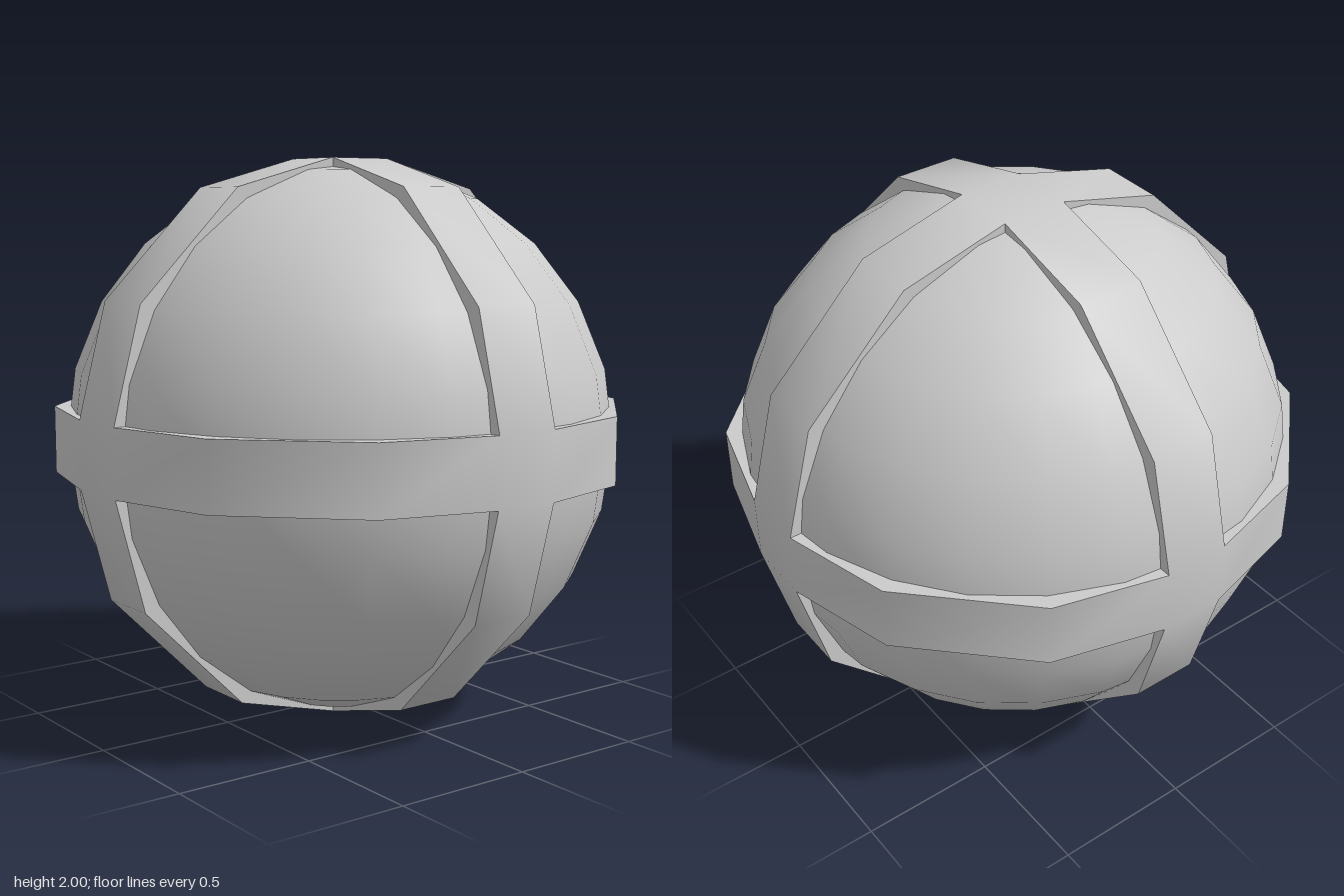
import * as THREE from 'three';
import { toCreasedNormals } from 'three/addons/utils/BufferGeometryUtils.js';

const HALF_WIDTH = 0.12;
// quarter of a band's outline, from the top crossing to the side crossing
const PROFILE = [[0.12, 1], [0.515, 0.895], [0.895, 0.515], [1, 0.12]];

// Three crossing bands: square crossings joined by faceted arms with side walls
function bandGeometry() {
  const positions = [];

  // Adds a quad, turned by quarter turns about z and then cycled to another axis
  const addQuad = (corners, turns, axis) => {
    const placed = corners.map(([x, y, z]) => {
      for (let i = 0; i < turns; i++) [x, y] = [-y, x];
      for (let i = 0; i < axis; i++) [x, y, z] = [z, x, y];
      return [x, y, z];
    });
    for (const i of [0, 1, 2, 0, 2, 3]) positions.push(...placed[i]);
  };

  const w = HALF_WIDTH;
  for (let axis = 0; axis < 3; axis++) {
    for (let turns = 0; turns < 4; turns++) {
      for (let i = 0; i < PROFILE.length - 1; i++) {
        const point = (j, z, s = 1) => [PROFILE[j][0] * s, PROFILE[j][1] * s, z];
        const k = i + 1;
        // outer face, then the two walls sunk into the ball
        addQuad([point(i, w), point(k, w), point(k, -w), point(i, -w)], turns, axis);
        addQuad([point(i, w), point(i, w, 0.9), point(k, w, 0.9), point(k, w)], turns, axis);
        addQuad([point(i, -w), point(k, -w), point(k, -w, 0.9), point(i, -w, 0.9)], turns, axis);
      }
      // each crossing is shared by two bands, so add it on even turns only
      if (turns % 2 === 0) {
        addQuad([[-w, 1, w], [w, 1, w], [w, 1, -w], [-w, 1, -w]], turns, axis);
      }
    }
  }

  const geometry = new THREE.BufferGeometry();
  geometry.setAttribute('position', new THREE.Float32BufferAttribute(positions, 3));
  return toCreasedNormals(geometry, Math.PI / 4);
}

export function createModel() {
  const group = new THREE.Group();
  group.name = 'bandedBall';
  const material = new THREE.MeshStandardMaterial({ color: 0xcccccc });

  const ball = new THREE.Mesh(new THREE.SphereGeometry(0.99, 24, 12), material);
  ball.name = 'ball';

  const bands = new THREE.Mesh(bandGeometry(), material);
  bands.name = 'crossingBands';

  for (const part of [ball, bands]) {
    part.position.y = 1;
    group.add(part);
  }
  return group;
}
